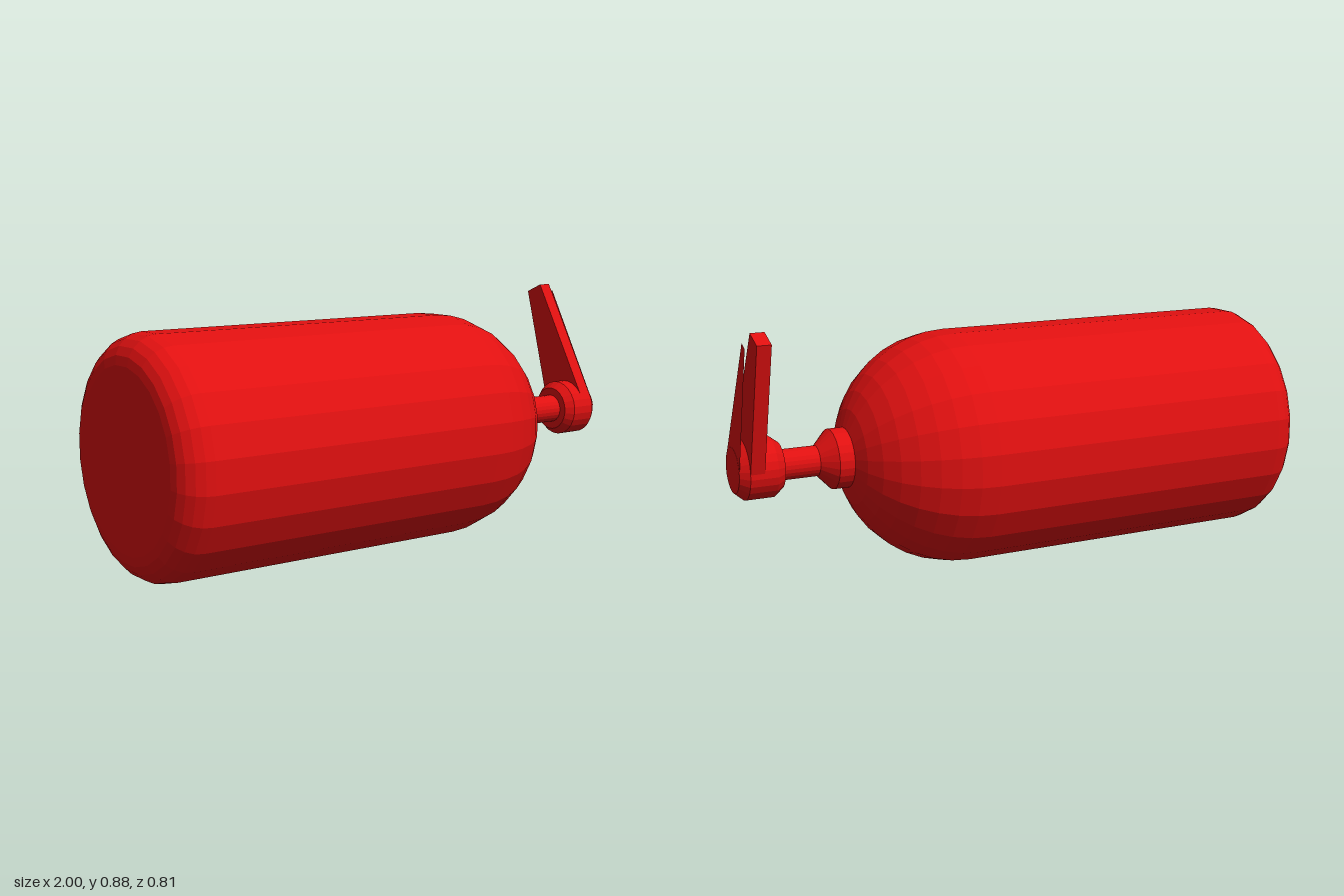
import * as THREE from 'three';

const SIDES = 24;
const AXIS_Y = 0.4025;

export function createModel() {
  const model = new THREE.Group();
  const red = new THREE.MeshStandardMaterial({ color: 0xe01010, flatShading: true, side: THREE.DoubleSide });
  red.name = 'red paint';

  const add = (name, geometry) => {
    const mesh = new THREE.Mesh(geometry, red);
    mesh.name = name;
    mesh.position.y = AXIS_Y;
    model.add(mesh);
  };

  // Turns [radius, x] pairs around the long axis, with a flat side on top
  const turned = (name, profile) => {
    const points = profile.map(([r, x]) => new THREE.Vector2(r, x));
    const geometry = new THREE.LatheGeometry(points, SIDES, Math.PI / SIDES);
    add(name, geometry.rotateZ(-Math.PI / 2));
  };

  // Outline in the plane across the long axis; first coordinate runs toward the back
  const outline = (points) => new THREE.Shape(points.map(([a, b]) => new THREE.Vector2(a, b)));

  // Tank: flat base, rounded rim, straight wall and domed shoulder
  const R = 0.406, rim = 0.1, shoulder = 0.22;
  const tank = [[0, -1]];
  for (let i = 0; i <= 5; i++) {
    const t = (i / 5) * Math.PI / 2;
    tank.push([R - rim + rim * Math.sin(t), -0.9 - rim * Math.cos(t)]);
  }
  const domeEnd = Math.acos(0.1 / R);
  for (let i = 0; i <= 8; i++) {
    const t = (i / 8) * domeEnd;
    tank.push([R * Math.cos(t), shoulder + R * Math.sin(t)]);
  }
  tank.push([0, 0.615]);
  turned('tank', tank);

  // Collar, thin stem and valve head
  turned('collar', [[0.103, 0.6], [0.103, 0.665], [0.052, 0.715]]);
  turned('stem', [[0.052, 0.71], [0.052, 0.855]]);
  turned('valveHead', [[0, 0.845], [0.08, 0.845], [0.103, 0.875], [0.103, 0.97], [0.077, 1], [0, 1]]);

  // Tapered lever rising from the valve head
  const lever = outline([[-0.086, 0.055], [0, -0.06], [0.101, 0], [0.225, 0.443], [0.155, 0.473]]);
  const leverGeometry = new THREE.ExtrudeGeometry(lever, { depth: 0.048, bevelEnabled: false });
  add('lever', leverGeometry.rotateY(Math.PI / 2).translate(0.922, 0, 0));

  // Thin narrower plate in front of the lever
  const plate = outline([[-0.06, 0.047], [0, -0.04], [0.077, 0], [0.195, 0.432], [0.165, 0.446]]);
  add('leverPlate', new THREE.ShapeGeometry(plate).rotateY(Math.PI / 2).translate(0.9995, 0, 0));

  return model;
}
